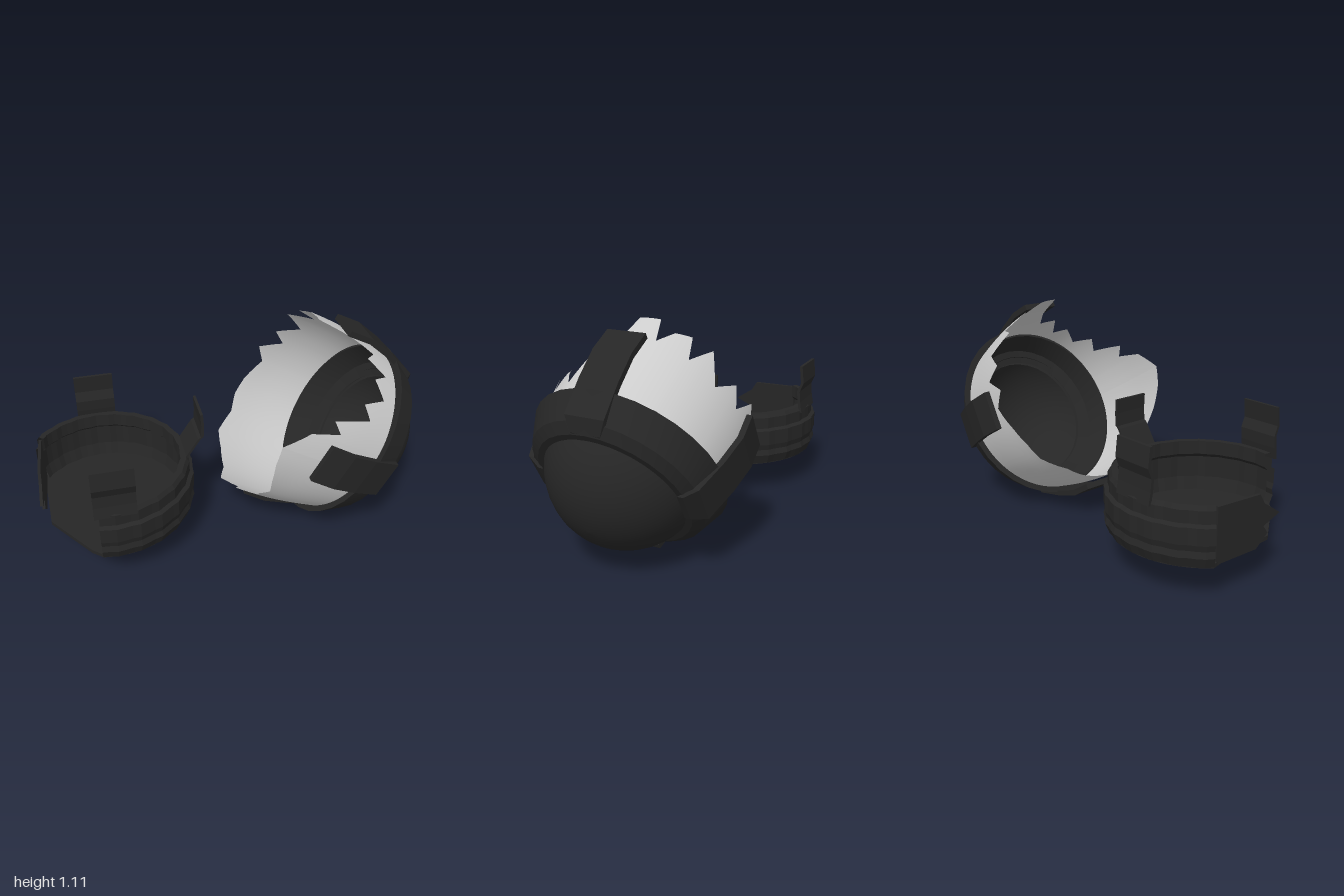
import * as THREE from 'three';
import { toCreasedNormals } from 'three/addons/utils/BufferGeometryUtils.js';

const rad = THREE.MathUtils.degToRad;
const V2 = (p) => new THREE.Vector2(p[0], p[1]);
const dark = new THREE.MeshStandardMaterial({ color: 0x262626, side: THREE.DoubleSide });
const darkFlat = new THREE.MeshStandardMaterial({ color: 0x262626, side: THREE.DoubleSide, flatShading: true });
const grey = new THREE.MeshStandardMaterial({ color: 0xcccccc, side: THREE.DoubleSide });

function add(parent, name, geometry, material) {
  const mesh = new THREE.Mesh(geometry, material);
  mesh.name = name;
  parent.add(mesh);
  return mesh;
}

// Bent strip: outer line of [radius, height] points, thickened inward
function stripGeometry(points, thickness, width) {
  const inner = points.map(([r, y]) => [r - thickness, y]).reverse();
  const shape = new THREE.Shape([...points, ...inner].map(V2));
  const g = new THREE.ExtrudeGeometry(shape, { depth: width, bevelEnabled: false });
  return g.translate(0, 0, -width / 2);
}

// Broken edge of the globe: [angle from front towards top, height along axis]
const brokenEdge = [
  [0, -0.53], [13, -0.43], [18, -0.28], [24, -0.34], [31, -0.14], [39, -0.2], [46, -0.08],
  [57, -0.15], [63, -0.07], [70, -0.19], [78, -0.13], [84, -0.25], [89, -0.45], [101, -0.46],
  [105, -0.33], [112, -0.41], [121, -0.43], [125, -0.31], [134, -0.43], [144, -0.28], [155, -0.38],
  [162, -0.29], [171, -0.4], [180, -0.33], [195, -0.38], [207, -0.4], [219, -0.39], [235, -0.45], [248, -0.43],
  [265, -0.43], [281, -0.49], [288, -0.405], [295, -0.45], [305, -0.36], [312, -0.39], [322, -0.38], [334, -0.44],
  [348, -0.5], [360, -0.53],
];

function globeGeometry() {
  const rows = 8, split = 3, pos = [], idx = [];
  const radius = (s) => 0.46 + 0.032 * Math.sin(Math.min(1, -s / 0.35) * Math.PI / 2) - 0.25 * Math.max(0, -s - 0.42) ** 2;
  const columns = [];
  for (let i = 0; i < brokenEdge.length - 1; i++) {
    for (let k = 0; k < split; k++) {
      const t = k / split, [a, b] = [brokenEdge[i], brokenEdge[i + 1]];
      columns.push([a[0] + (b[0] - a[0]) * t, a[1] + (b[1] - a[1]) * t]);
    }
  }
  columns.push(brokenEdge[brokenEdge.length - 1]);
  columns.forEach(([angle, edge], c) => {
    for (let j = 0; j <= rows; j++) {
      const s = edge * j / rows, r = radius(s), a = rad(angle);
      pos.push(-r * Math.sin(a), s, r * Math.cos(a));
      if (c && j) {
        const p = c * (rows + 1) + j, q = p - rows - 1;
        idx.push(q - 1, q, p - 1, q, p, p - 1);
      }
    }
  });
  const g = new THREE.BufferGeometry();
  g.setAttribute('position', new THREE.Float32BufferAttribute(pos, 3));
  g.setIndex(idx);
  g.computeVertexNormals();
  return g;
}

function createBrokenGlobe() {
  const globe = new THREE.Group();
  globe.name = 'brokenGlobe';
  add(globe, 'globeShell', globeGeometry(), grey);

  // Tapered collar between shell and cap, sitting slightly askew
  const collarProfile = [[0.34, 0.14], [0.41, 0.12], [0.455, 0], [0.497, 0], [0.44, 0.13], [0.39, 0.165], [0.34, 0.165]];
  const collar = add(globe, 'collar', toCreasedNormals(new THREE.LatheGeometry(collarProfile.map(V2), 32), 0.4), dark);
  collar.rotation.z = rad(-2.5);
  collar.position.y = -0.008;

  // Domed cap
  const dome = [];
  for (let i = 0; i <= 10; i++) {
    const a = rad(20 + 7 * i);
    dome.push([0.391 * Math.cos(a), 0.391 * Math.sin(a)]);
  }
  add(globe, 'domeCap', new THREE.LatheGeometry(dome.map(V2), 40), dark);

  // Four clips hugging collar and shell
  const clip = stripGeometry([[0.53, -0.314], [0.537, -0.18], [0.507, -0.034], [0.453, 0.134], [0.385, 0.17]], 0.03, 0.2);
  const p = clip.attributes.position;
  for (let i = 0; i < p.count; i++) if (p.getY(i) > 0.15) p.setZ(i, p.getZ(i) * 0.75);
  clip.computeVertexNormals();
  for (let k = 0; k < 4; k++) add(globe, 'globeClip', clip, darkFlat).rotation.y = k * Math.PI / 2;

  // Slightly oval, tipped over with the cap facing sideways and down
  globe.scale.z = 0.965;
  globe.position.set(0.607, 0.467, 0);
  globe.rotation.z = rad(-120);
  return globe;
}

function createBrokenBase() {
  const base = new THREE.Group();
  base.name = 'brokenBase';

  // Stepped, softly ribbed wall with a missing stretch
  const profile = [
    [0.38, 0.2], [0.4, 0.185], [0.425, 0.19], [0.445, 0.24], [0.437, 0.27], [0.445, 0.3], [0.445, 0.38],
    [0.425, 0.39], [0.425, 0.45], [0.41, 0.47], [0.38, 0.47], [0.38, 0.4], [0.4, 0.38], [0.4, 0.27], [0.38, 0.2],
  ];
  const wall = new THREE.LatheGeometry(profile.map(V2), 48, rad(-11), rad(243));
  const p = wall.attributes.position;
  for (let i = 0; i < p.count; i++) {
    const k = 1 + 0.008 * Math.cos(24 * Math.atan2(p.getZ(i), p.getX(i)));
    p.setX(i, p.getX(i) * k);
    p.setZ(i, p.getZ(i) * k);
  }
  add(base, 'baseWall', wall, darkFlat);

  // Floor disc cut off along the break
  const floor = new THREE.Shape();
  floor.absarc(0, 0, 0.42, rad(-142), rad(101), false);
  floor.lineTo(-0.13, 0.37);
  floor.lineTo(-0.31, 0.12);
  floor.lineTo(-0.32, -0.2);
  const floorGeometry = new THREE.ExtrudeGeometry(floor, { depth: 0.02, bevelEnabled: false, curveSegments: 28 });
  add(base, 'baseFloor', floorGeometry.rotateX(Math.PI / 2).translate(0, 0.205, 0), darkFlat);

  // Bent-in wall piece at the break
  const outline = [[0, 0.19], [0.24, 0.19], [0.31, 0.25], [0.28, 0.29], [0.38, 0.33], [0.28, 0.4], [0.25, 0.45], [0, 0.46]];
  const shardGeometry = new THREE.ExtrudeGeometry(new THREE.Shape(outline.map(V2)), { depth: 0.015, bevelEnabled: false });
  const shard = add(base, 'wallShard', shardGeometry, darkFlat);
  shard.position.set(-0.31, 0, -0.24);
  shard.rotation.y = rad(-94);

  // Upright tabs at the sides, one bent outward
  const upright = stripGeometry([[0.425, 0.44], [0.415, 0.5], [0.41, 0.56], [0.43, 0.61], [0.42, 0.705]], 0.015, 0.205);
  for (const side of [-1, 1]) add(base, 'uprightTab', upright, darkFlat).rotation.y = side * Math.PI / 2;
  const bent = stripGeometry([[0.41, 0.46], [0.48, 0.565], [0.495, 0.575], [0.498, 0.64], [0.494, 0.71]], 0.014, 0.18);
  add(base, 'bentTab', bent, darkFlat);

  base.scale.z = 1.02;
  base.position.x = -0.64;
  return base;
}

export function createModel() {
  const model = new THREE.Group();
  model.name = 'brokenCapsule';
  model.add(createBrokenGlobe(), createBrokenBase());
  return model;
}
